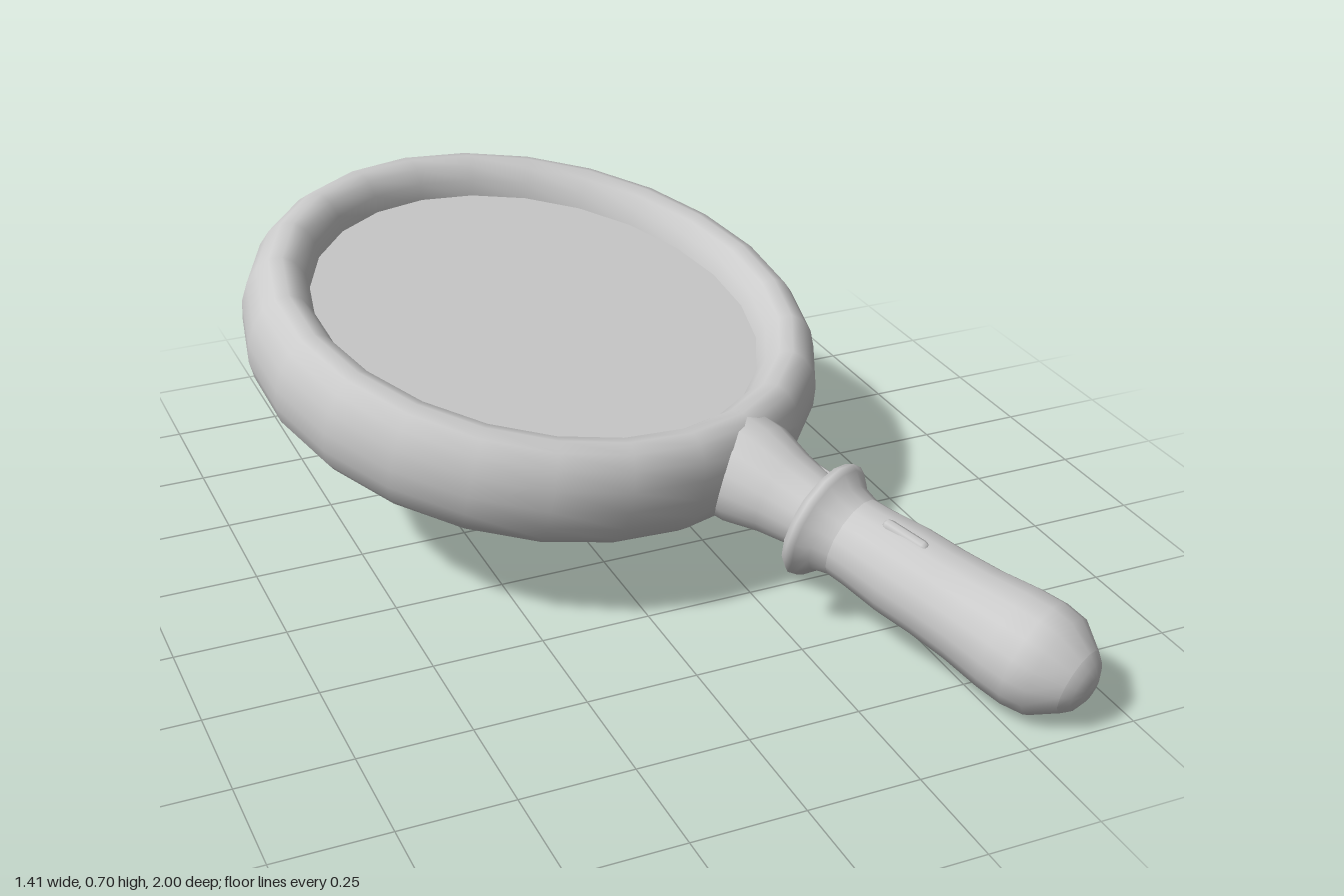
import * as THREE from 'three';

export function createModel() {
  const model = new THREE.Group();
  const material = new THREE.MeshStandardMaterial({ color: 0xcccccc });

  // The glass is built lying flat, handle along +z, then tilted into its pose
  const glass = new THREE.Group();
  glass.name = 'magnifyingGlass';
  model.add(glass);
  const add = (name, geometry) => {
    const mesh = new THREE.Mesh(geometry, material);
    mesh.name = name;
    glass.add(mesh);
    return mesh;
  };
  const points = (list) => list.map(([r, s]) => new THREE.Vector2(r, s));

  // Rim: tall elliptical section turned round the lens, seam on the hidden inner side
  const section = [];
  const steps = 16;
  for (let i = 0; i <= steps; i++) {
    const a = Math.PI + (i / steps) * Math.PI * 2;
    section.push([0.592 + 0.078 * Math.cos(a), 0.128 * Math.sin(a)]);
  }
  add('rim', new THREE.LatheGeometry(points(section), 24));

  // Lens: flat disc with its edge buried in the rim
  add('lens', new THREE.CylinderGeometry(0.57, 0.57, 0.11, 24));

  // Handle parts: radius and distance from the lens centre
  const turned = (name, list) =>
    add(name, new THREE.LatheGeometry(points(list), 16).rotateX(Math.PI / 2));
  turned('neck', [[0.125, 0.58], [0.122, 0.66], [0.1, 0.74], [0.087, 0.82], [0.087, 0.86]]);
  turned('collar', [[0.08, 0.81], [0.09, 0.825], [0.13, 0.838], [0.138, 0.852],
    [0.13, 0.866], [0.105, 0.89], [0.094, 0.93]]);
  turned('grip', [[0.094, 0.91], [0.096, 0.97], [0.104, 1.06], [0.105, 1.15], [0.11, 1.24],
    [0.121, 1.33], [0.124, 1.39], [0.117, 1.44], [0.075, 1.497]]);
  turned('endCap', [[0.075, 1.497], [0.058, 1.515], [0.03, 1.527], [0, 1.53]]);

  // Small raised bars on the upper side of the handle
  const bar = (name, width, length, x, y, z) => {
    const mesh = add(name, new THREE.CapsuleGeometry(width / 2, length, 3, 8).rotateX(Math.PI / 2));
    mesh.position.set(x, y, z);
  };
  bar('gripBar', 0.03, 0.085, -0.018, 0.092, 1.05);
  bar('neckBar', 0.022, 0.03, 0.056, 0.062, 0.79);

  // Pose: rim axis up, handle direction forward and to the left
  const up = new THREE.Vector3(0.12, 1, 0.2);
  const forward = new THREE.Vector3(0.458, -(0.12 * 0.458 + 0.2 * 0.889), 0.889).normalize();
  up.normalize();
  const side = new THREE.Vector3().crossVectors(up, forward);
  glass.quaternion.setFromRotationMatrix(new THREE.Matrix4().makeBasis(side, up, forward));
  glass.position.set(-0.035, 0.453, -0.338);
  return model;
}
